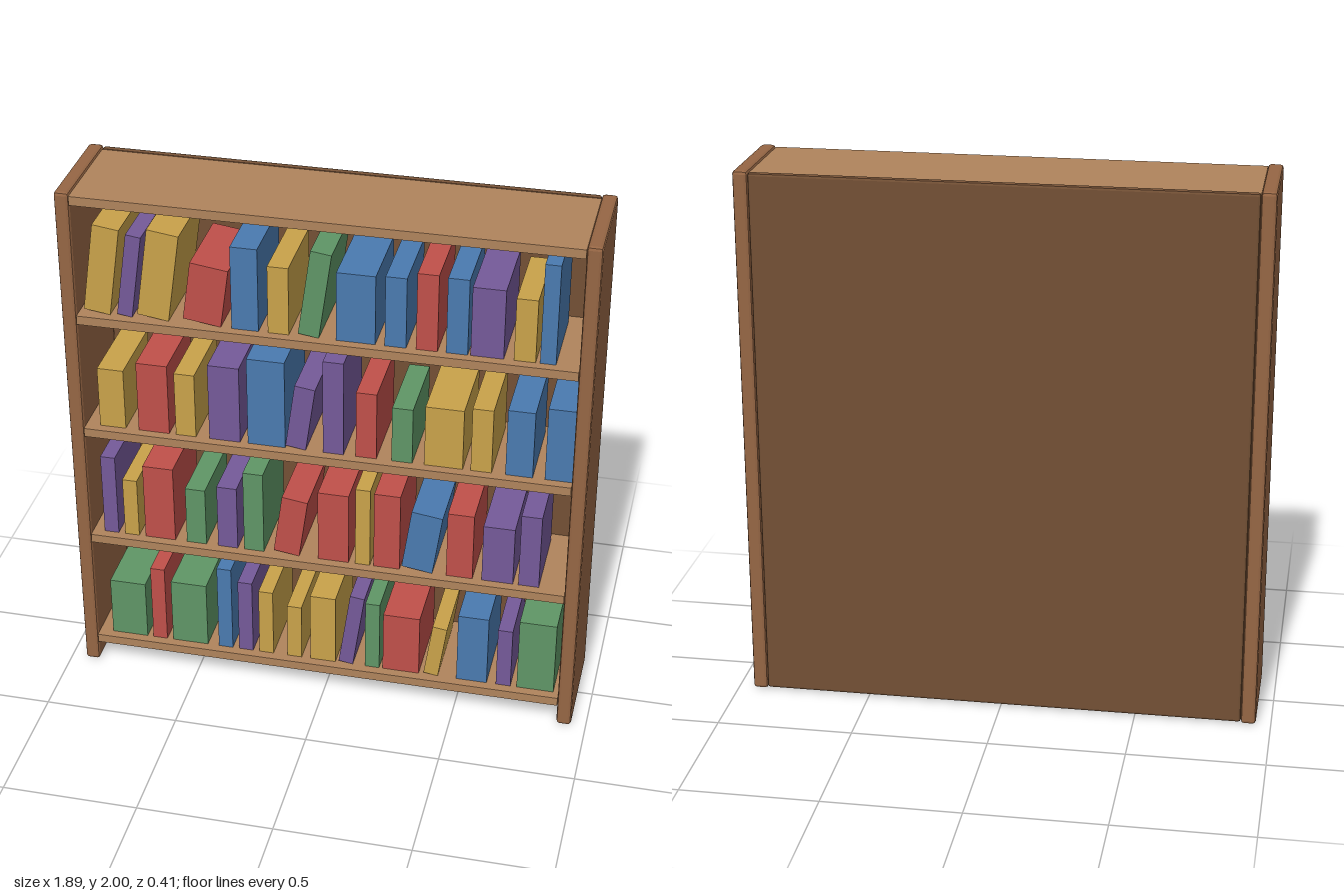
import * as THREE from 'three';
import { RoundedBoxGeometry } from 'three/addons/geometries/RoundedBoxGeometry.js';

const mat = (color) => new THREE.MeshStandardMaterial({ color, flatShading: true });

export function createModel() {
  const root = new THREE.Group();
  root.name = 'bookcase';
  const wood = { side: mat(0x966644), shelf: mat(0xb0845c), back: mat(0x735035) };
  const cover = {
    gold: mat(0xc9a24a), red: mat(0xc0504a), blue: mat(0x4a7ab0),
    green: mat(0x5f9666), purple: mat(0x755a99),
  };
  // Standard book thicknesses, shared depth and lean
  const format = { thin: 0.055, medium: 0.075, wide: 0.097, large: 0.115, broad: 0.138 };
  const bookDepth = 0.31;
  const leanAngle = THREE.MathUtils.degToRad(8);

  const add = (parent, name, geometry, material, x, y, z) => {
    const mesh = new THREE.Mesh(geometry, material);
    mesh.name = name;
    mesh.position.set(x, y, z);
    parent.add(mesh);
    return mesh;
  };

  // Softened side boards and back board
  for (const s of [-1, 1]) {
    add(root, s > 0 ? 'leftSide' : 'rightSide',
      new RoundedBoxGeometry(0.055, 2, 0.41, 1, 0.012), wood.side, s * 0.9175, 1, 0);
  }
  add(root, 'backPanel', new RoundedBoxGeometry(1.78, 1.99, 0.027, 1, 0.01), wood.back, 0, 1, -0.1915);

  // Evenly spaced boards, from the bottom shelf to the top board
  const thick = 0.034;
  const boardTop = (i) => 0.12 + i * 0.4675;
  for (let i = 0; i < 5; i++) {
    add(root, i === 4 ? 'topBoard' : 'shelf',
      new THREE.BoxGeometry(1.78, thick, 0.385), wood.shelf, 0, boardTop(i) - thick / 2, 0.0125);
  }

  // One row of books: colour, format, centre x, height, and whether it leans
  const addRow = (shelf, books) => {
    const row = new THREE.Group();
    row.name = 'bookRow';
    row.position.y = boardTop(shelf);
    root.add(row);
    for (const [color, size, x, h, leans] of books) {
      const w = format[size];
      const a = leans ? leanAngle : 0;
      // a leaning book rests on its lower corner
      const y = (h * Math.cos(a) + w * Math.sin(a)) / 2;
      const book = add(row, 'book', new THREE.BoxGeometry(w, h, bookDepth), cover[color], x, y, 0.015);
      book.rotation.z = -a;
    }
  };

  addRow(0, [
    ['green', 'broad', -0.77, 0.24], ['red', 'thin', -0.65, 0.32], ['green', 'broad', -0.53, 0.27],
    ['blue', 'thin', -0.39, 0.36], ['purple', 'thin', -0.31, 0.31], ['gold', 'thin', -0.23, 0.28],
    ['gold', 'thin', -0.12, 0.23], ['gold', 'wide', -0.01, 0.29], ['purple', 'thin', 0.1, 0.31, true],
    ['green', 'thin', 0.18, 0.29], ['red', 'broad', 0.29, 0.25], ['gold', 'thin', 0.42, 0.22, true],
    ['blue', 'large', 0.56, 0.29], ['purple', 'thin', 0.68, 0.25], ['green', 'broad', 0.8, 0.3],
  ]);
  addRow(1, [
    ['purple', 'thin', -0.82, 0.33], ['gold', 'thin', -0.74, 0.24], ['red', 'large', -0.63, 0.31],
    ['green', 'medium', -0.49, 0.235], ['purple', 'medium', -0.37, 0.26], ['green', 'medium', -0.27, 0.335],
    ['red', 'wide', -0.13, 0.24, true], ['red', 'large', 0.03, 0.29], ['gold', 'thin', 0.14, 0.325],
    ['red', 'wide', 0.23, 0.315], ['blue', 'large', 0.36, 0.245, true], ['red', 'wide', 0.5, 0.27],
    ['purple', 'large', 0.64, 0.235], ['purple', 'medium', 0.755, 0.3],
  ]);
  addRow(2, [
    ['gold', 'wide', -0.79, 0.24], ['red', 'large', -0.635, 0.28], ['gold', 'medium', -0.515, 0.255],
    ['purple', 'large', -0.37, 0.305], ['blue', 'broad', -0.215, 0.35], ['purple', 'medium', -0.09, 0.255, true],
    ['purple', 'medium', 0.03, 0.375], ['red', 'medium', 0.15, 0.265], ['green', 'medium', 0.28, 0.22],
    ['gold', 'broad', 0.43, 0.24], ['gold', 'medium', 0.565, 0.255], ['blue', 'wide', 0.7, 0.265],
    ['blue', 'wide', 0.84, 0.29],
  ]);
  addRow(3, [
    ['gold', 'wide', -0.8, 0.34, true], ['purple', 'thin', -0.7, 0.32, true], ['gold', 'large', -0.595, 0.34, true],
    ['red', 'broad', -0.425, 0.225, true], ['blue', 'wide', -0.285, 0.32], ['gold', 'medium', -0.165, 0.26],
    ['green', 'medium', -0.035, 0.33, true], ['blue', 'broad', 0.11, 0.265], ['blue', 'medium', 0.25, 0.27],
    ['red', 'medium', 0.36, 0.295], ['blue', 'medium', 0.465, 0.29], ['purple', 'large', 0.57, 0.265],
    ['gold', 'medium', 0.7, 0.24], ['blue', 'thin', 0.78, 0.38],
  ]);
  return root;
}
